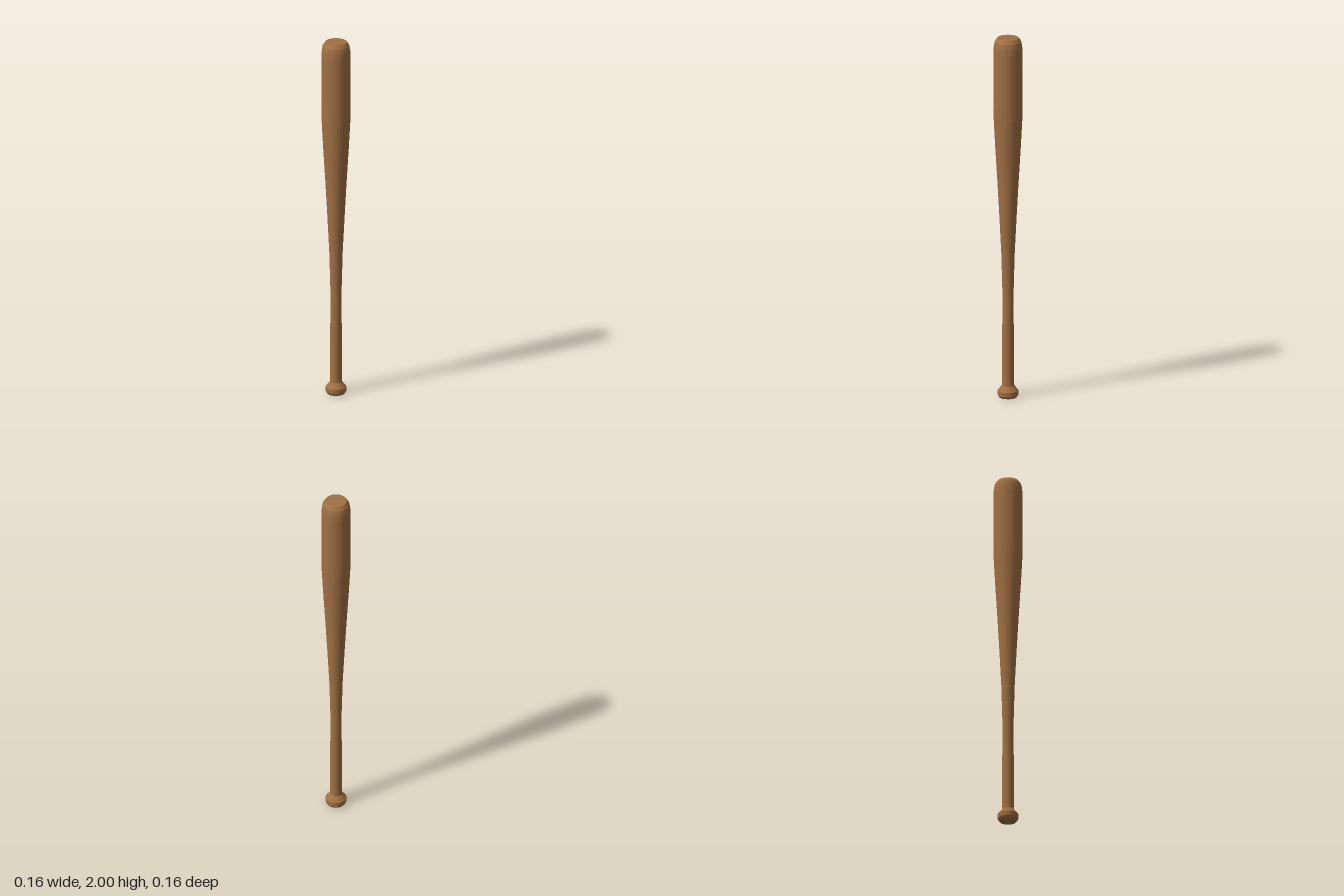
import * as THREE from 'three';

export function createModel() {
  const group = new THREE.Group();
  group.name = 'bat';
  const wood = new THREE.MeshStandardMaterial({ color: 0xa07043, flatShading: true });
  wood.name = 'wood';

  // Turned part from [radius, height] pairs, listed bottom to top
  const turned = (name, profile) => {
    const points = profile.map(([r, y]) => new THREE.Vector2(r, y));
    const mesh = new THREE.Mesh(new THREE.LatheGeometry(points, 32), wood);
    mesh.name = name;
    group.add(mesh);
  };

  // Knob at the foot, closed underneath
  turned('knob', [[0, 0], [0.046, 0], [0.055, 0.012], [0.056, 0.037], [0.036, 0.062], [0.033, 0.068]]);

  // Slim grip
  turned('handle', [[0.033, 0.068], [0.032, 0.1], [0.031, 0.36], [0.03, 0.58]]);

  // Widening middle
  turned('taper', [[0.03, 0.58], [0.036, 0.8], [0.046, 1.0], [0.057, 1.2], [0.069, 1.4], [0.077, 1.55]]);

  // Thick end with a rounded shoulder and flat tip
  turned('barrel', [[0.077, 1.55], [0.078, 1.62], [0.078, 1.92], [0.076, 1.955], [0.071, 1.98], [0.058, 2.0], [0, 2.0]]);

  return group;
}
